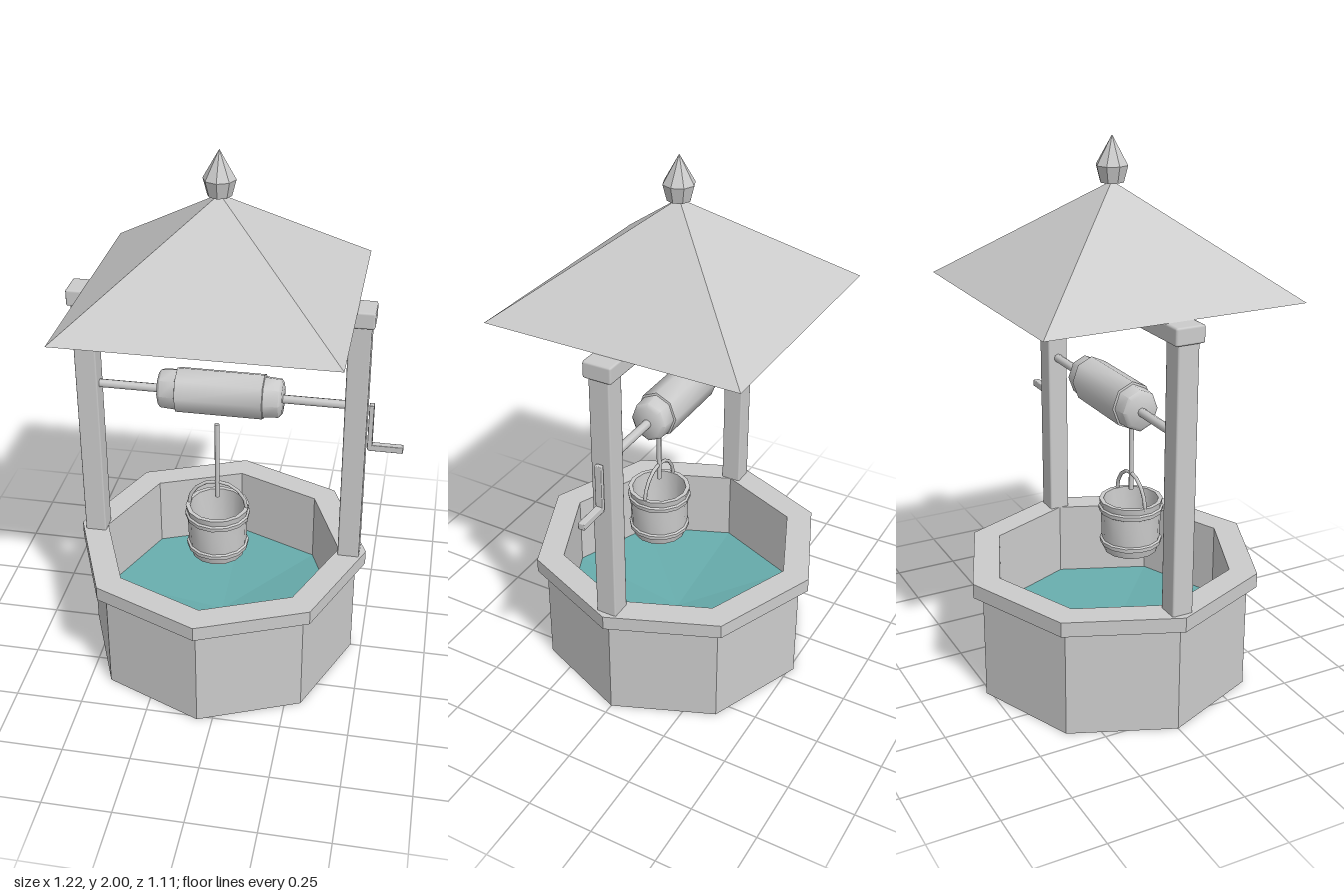
import * as THREE from 'three';
import { RoundedBoxGeometry } from 'three/addons/geometries/RoundedBoxGeometry.js';
import { toCreasedNormals } from 'three/addons/utils/BufferGeometryUtils.js';

const flat = new THREE.MeshStandardMaterial({ color: 0xcccccc, flatShading: true, side: THREE.DoubleSide });
const smooth = new THREE.MeshStandardMaterial({ color: 0xcccccc, side: THREE.DoubleSide });
const waterMat = new THREE.MeshStandardMaterial({ color: 0x66aaaa, flatShading: true, side: THREE.DoubleSide });

export function createModel() {
  const model = new THREE.Group();
  model.name = 'well';

  const add = (name, geometry, material, x = 0, y = 0, z = 0) => {
    const mesh = new THREE.Mesh(geometry, material);
    mesh.name = name;
    mesh.position.set(x, y, z);
    model.add(mesh);
    return mesh;
  };
  // Turned shape from [radius, height] pairs
  const lathe = (points, sides) =>
    new THREE.LatheGeometry(points.map(([r, y]) => new THREE.Vector2(r, y)), sides);
  // Slightly bevelled box
  const box = (w, h, d, bevel = 0.006) => new RoundedBoxGeometry(w, h, d, 1, bevel);

  // Octagonal basin with a chamfered rim and hollow inside
  add('basin', lathe([
    [0, 0], [0.516, 0], [0.516, 0.385], [0.553, 0.405], [0.553, 0.46], [0.45, 0.46], [0.45, 0.17],
  ], 8), flat);
  add('water', lathe([[0, 0.11], [0.45, 0.18]], 8), waterMat);

  // Posts and cross beam
  for (const side of [-1, 1]) {
    add(side > 0 ? 'leftPost' : 'rightPost', box(0.08, 0.97, 0.078), smooth, side * 0.489, 0.94, 0);
  }
  add('crossBeam', box(1.08, 0.062, 0.108, 0.008), smooth, 0, 1.449, 0);

  // Open four-sided roof
  const roof = new THREE.ConeGeometry(0.478 * Math.SQRT2, 0.367, 4, 1, true);
  roof.rotateY(Math.PI / 4);
  add('roof', roof, flat, 0, 1.48 + 0.367 / 2, 0);
  add('finial', lathe([[0, 1.843], [0.042, 1.843], [0.057, 1.9], [0, 2]], 8), flat);

  // Windlass drum with stepped ends, on its axle
  const drum = toCreasedNormals(lathe([
    [0, -0.226], [0.062, -0.226], [0.076, -0.215], [0.08, -0.16], [0.088, -0.158],
    [0.088, 0.158], [0.08, 0.16], [0.076, 0.215], [0.062, 0.226], [0, 0.226],
  ], 8), 0.9);
  drum.scale(1, 1, 0.88);
  drum.rotateZ(-Math.PI / 2);
  add('windlassDrum', drum, smooth, 0, 1.094, 0);
  const axle = new THREE.CylinderGeometry(0.016, 0.016, 1.0, 8);
  axle.rotateZ(Math.PI / 2);
  add('axle', axle, smooth, 0, 1.092, 0);

  // Crank
  add('crankArm', box(0.018, 0.18, 0.026, 0.003), smooth, 0.543, 1.012, 0);
  add('crankHandle', box(0.126, 0.025, 0.025, 0.003), smooth, 0.6, 0.928, 0);

  // Rope
  add('rope', new THREE.CylinderGeometry(0.009, 0.009, 0.31, 8), smooth, 0, 0.857, 0.082);

  // Bucket: hollow staves, two hoops and an arched handle
  const bucket = lathe([
    [0, 0.463], [0.1, 0.463], [0.107, 0.49], [0.115, 0.493], [0.116, 0.508], [0.108, 0.512],
    [0.112, 0.618], [0.119, 0.622], [0.121, 0.638], [0.114, 0.643], [0.118, 0.667],
    [0.102, 0.667], [0.09, 0.485], [0, 0.485],
  ], 14);
  add('bucket', toCreasedNormals(bucket, 0.6), smooth, 0, 0, 0.082);
  add('bucketHandle', new THREE.TorusGeometry(0.109, 0.007, 6, 8, Math.PI), smooth, 0, 0.658, 0.082);

  model.position.x = -0.056;
  const root = new THREE.Group();
  root.add(model);
  return root;
}
